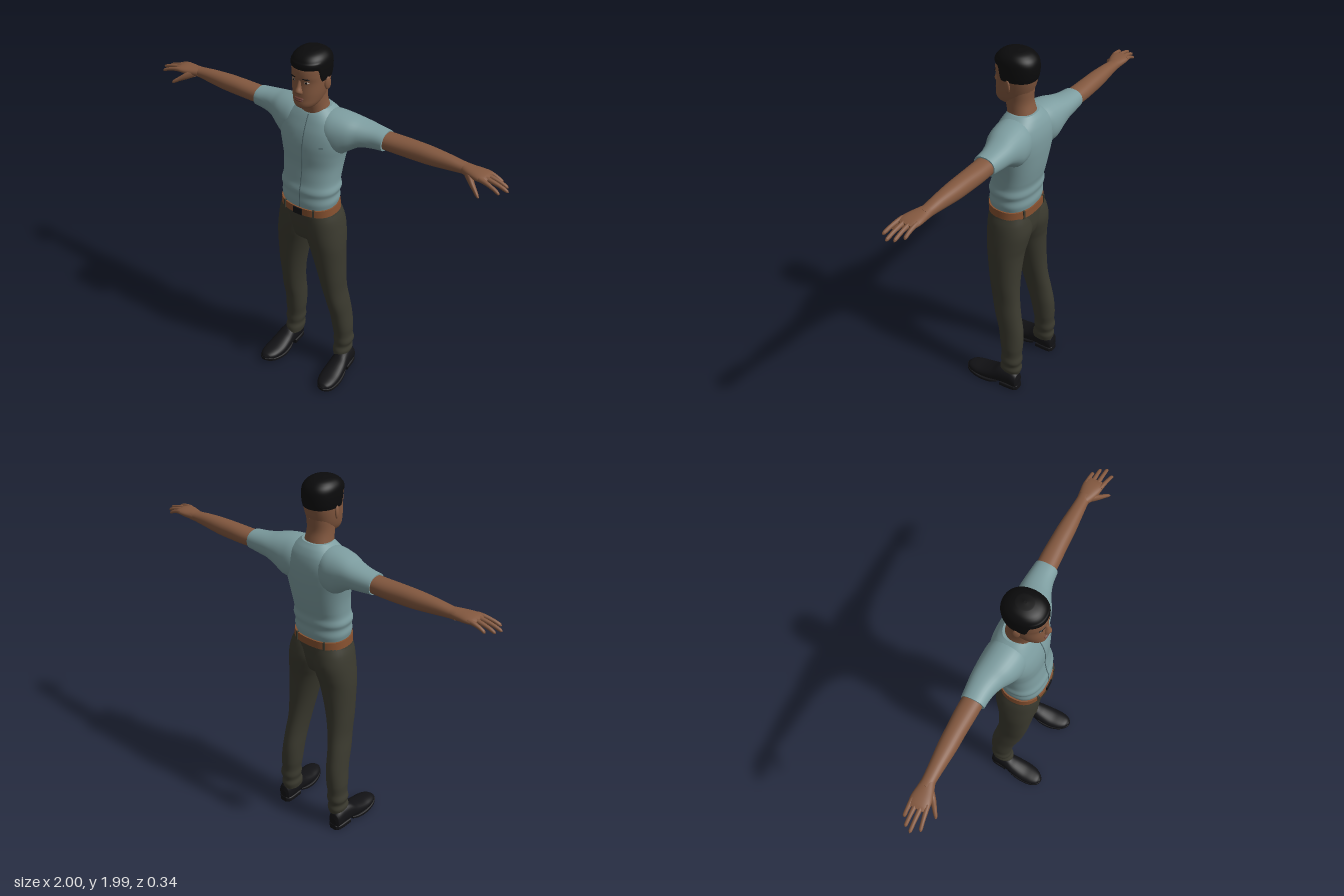
import * as THREE from 'three';

const mat = (name, color) => Object.assign(new THREE.MeshStandardMaterial({ color }), { name });
const M = {
  skin: mat('skin', 0x83583f), hair: mat('hair', 0x0b0b0c), shirt: mat('shirt', 0x7d9da0),
  seam: mat('shirtSeam', 0x4f676b), trousers: mat('trousers', 0x3b3a2f), belt: mat('beltLeather', 0x85502f),
  black: mat('shoeBlack', 0x121215), lips: mat('lips', 0x6a3d33), eye: mat('eyeWhite', 0xb5aca4),
};

// Smooth loft along an axis. Each section is [t, u0, u1, v0, v1], where the extents follow the
// axis in cyclic order: x -> (y, z), y -> (z, x), z -> (x, y).
function loft(name, axis, rings, material, { n = 2.2, segs = 32, sub = 5, smooth = true } = {}) {
  const R = [...rings].sort((a, b) => a[0] - b[0]);
  const slope = (i, c) => {
    const a = R[Math.max(i - 1, 0)], b = R[Math.min(i + 1, R.length - 1)];
    return (b[c] - a[c]) / (b[0] - a[0]);
  };
  const sections = [];
  for (let i = 0; i < R.length - 1; i++) {
    const h = R[i + 1][0] - R[i][0];
    for (let j = 0; j < sub + (i === R.length - 2 ? 1 : 0); j++) {
      const s = j / sub, s2 = s * s, s3 = s2 * s;
      sections.push(R[i].map((p, c) => {
        const q = R[i + 1][c];
        if (c === 0 || !smooth) return p + (q - p) * s;
        return p * (2 * s3 - 3 * s2 + 1) + q * (3 * s2 - 2 * s3)
          + h * (slope(i, c) * (s3 - 2 * s2 + s) + slope(i + 1, c) * (s3 - s2));
      }));
    }
  }
  const k = { x: 0, y: 1, z: 2 }[axis], pos = [], idx = [];
  const push = (t, u, v) => {
    const p = [0, 0, 0];
    p[k] = t; p[(k + 1) % 3] = u; p[(k + 2) % 3] = v;
    pos.push(...p);
  };
  const bend = w => Math.sign(w) * Math.abs(w) ** (2 / n);
  const addRing = ([t, u0, u1, v0, v1]) => {
    const start = pos.length / 3;
    for (let j = 0; j < segs; j++) {
      const a = j / segs * Math.PI * 2;
      push(t, (u0 + u1) / 2 + (u1 - u0) / 2 * bend(Math.cos(a)), (v0 + v1) / 2 + (v1 - v0) / 2 * bend(Math.sin(a)));
    }
    return start;
  };
  sections.forEach((s, i) => {
    const b = addRing(s), a = b - segs;
    for (let j = 0; i && j < segs; j++) {
      const l = (j + 1) % segs;
      idx.push(a + j, a + l, b + l, a + j, b + l, b + j);
    }
  });
  // Flat end caps
  [[sections[0], true], [sections.at(-1), false]].forEach(([s, low]) => {
    const r = addRing(s), c = pos.length / 3;
    push(s[0], (s[1] + s[2]) / 2, (s[3] + s[4]) / 2);
    for (let j = 0; j < segs; j++) {
      const l = (j + 1) % segs;
      idx.push(c, r + (low ? l : j), r + (low ? j : l));
    }
  });
  const g = new THREE.BufferGeometry();
  g.setAttribute('position', new THREE.Float32BufferAttribute(pos, 3));
  g.setIndex(idx);
  g.computeVertexNormals();
  const mesh = new THREE.Mesh(g, material);
  mesh.name = name;
  return mesh;
}

// Sections written for the left side (+x), mirrored when s is -1
function side(s, axis, rings) {
  if (s > 0) return rings;
  return rings.map(([t, a, b, c, d]) =>
    axis === 'x' ? [-t, a, b, c, d] : axis === 'y' ? [t, a, b, -d, -c] : [t, -b, -a, c, d]);
}

function blob(name, material, [x, y, z], [sx, sy, sz], ry = 0, rz = 0) {
  const m = new THREE.Mesh(new THREE.SphereGeometry(1, 20, 14), material);
  m.name = name;
  m.position.set(x, y, z);
  m.scale.set(sx, sy, sz);
  m.rotation.set(0, ry, rz);
  return m;
}

function box(name, material, [x, y, z], [w, h, d], ry = 0) {
  const m = new THREE.Mesh(new THREE.BoxGeometry(w, h, d), material);
  m.name = name;
  m.position.set(x, y, z);
  m.rotation.y = ry;
  return m;
}

// Symmetric vertical sections: y, back z, front z, half width
const sym = rows => rows.map(([y, b, f, w]) => [y, b, f, -w, w]);

function createHead() {
  const g = new THREE.Group();
  g.name = 'head';
  g.add(loft('neck', 'y', sym([[1.64, -0.13, 0.01, 0.08], [1.69, -0.115, 0.02, 0.068], [1.74, -0.102, 0.03, 0.064],
    [1.8, -0.105, 0.03, 0.066]]), M.skin));
  g.add(loft('skull', 'y', sym([[1.712, -0.02, 0.055, 0.026], [1.722, -0.045, 0.076, 0.044], [1.74, -0.07, 0.085, 0.058],
    [1.765, -0.09, 0.084, 0.068], [1.8, -0.105, 0.082, 0.076], [1.85, -0.12, 0.077, 0.082], [1.885, -0.124, 0.083, 0.083],
    [1.93, -0.12, 0.076, 0.082], [1.965, -0.09, 0.045, 0.06]]), M.skin));
  // Hair cap, with the hairline raised over the forehead
  const hair = loft('hair', 'y', sym([[1.855, -0.122, 0.081, 0.085], [1.88, -0.128, 0.084, 0.088], [1.92, -0.13, 0.083, 0.088],
    [1.95, -0.122, 0.076, 0.084], [1.972, -0.1, 0.055, 0.068], [1.985, -0.068, 0.02, 0.04], [1.988, -0.03, -0.015, 0.006]]),
    M.hair, { segs: 64 });
  const p = hair.geometry.attributes.position;
  for (let i = 0; i < p.count; i++) {
    const lift = 0.062 * THREE.MathUtils.smoothstep(p.getZ(i), 0.015, 0.035);
    const y = p.getY(i);
    if (y < 1.95) p.setY(i, y + lift * (1.95 - y) / 0.095);
  }
  hair.geometry.computeVertexNormals();
  g.add(hair);
  g.add(loft('nose', 'y', sym([[1.797, 0.06, 0.084, 0.012], [1.803, 0.06, 0.096, 0.02], [1.814, 0.06, 0.103, 0.018],
    [1.835, 0.06, 0.093, 0.011], [1.865, 0.06, 0.08, 0.008]]), M.skin, { n: 2, segs: 20 }));
  g.add(blob('upperLip', M.lips, [0, 1.774, 0.081], [0.026, 0.006, 0.009]));
  g.add(blob('lowerLip', M.lips, [0, 1.764, 0.08], [0.023, 0.007, 0.01]));
  for (const s of [-1, 1]) {
    g.add(blob('eye', M.eye, [s * 0.034, 1.856, 0.068], [0.013, 0.005, 0.005], s * 0.3));
    g.add(blob('iris', M.hair, [s * 0.034, 1.856, 0.0715], [0.005, 0.005, 0.003], s * 0.3));
    g.add(blob('eyebrow', M.hair, [s * 0.035, 1.874, 0.073], [0.019, 0.0035, 0.004], s * 0.35, s * -0.08));
    g.add(blob('ear', M.skin, [s * 0.086, 1.833, -0.025], [0.008, 0.032, 0.018], s * -0.35));
  }
  return g;
}

function createArm(s) {
  const g = new THREE.Group();
  g.name = s > 0 ? 'leftArm' : 'rightArm';
  const part = (name, rings, m, o) => g.add(loft(name, 'x', side(s, 'x', rings), m, o));
  part('sleeve', [[0.05, 1.47, 1.675, -0.15, 0.02], [0.1, 1.46, 1.678, -0.168, 0.035], [0.15, 1.46, 1.675, -0.172, 0.03],
    [0.2, 1.495, 1.667, -0.17, 0.012], [0.25, 1.525, 1.655, -0.168, -0.015], [0.31, 1.535, 1.645, -0.163, -0.035],
    [0.372, 1.542, 1.637, -0.157, -0.042]], M.shirt);
  part('bareArm', [[0.33, 1.55, 1.63, -0.15, -0.05], [0.43, 1.547, 1.632, -0.153, -0.054], [0.52, 1.547, 1.634, -0.15, -0.058],
    [0.6, 1.55, 1.633, -0.147, -0.06], [0.7, 1.56, 1.627, -0.138, -0.067], [0.77, 1.568, 1.619, -0.133, -0.071],
    [0.8, 1.569, 1.618, -0.134, -0.068]], M.skin);
  part('palm', [[0.77, 1.57, 1.618, -0.132, -0.07], [0.81, 1.572, 1.617, -0.136, -0.055], [0.85, 1.576, 1.616, -0.14, -0.044],
    [0.88, 1.58, 1.612, -0.138, -0.042], [0.9, 1.585, 1.605, -0.13, -0.05]], M.skin);
  // Fingers: base z, tip z, tip x
  [[-0.126, -0.127, 0.95], [-0.102, -0.102, 0.985], [-0.077, -0.072, 1.0], [-0.054, -0.034, 0.975]].forEach(([z0, z1, tip]) => {
    const ring = f => {
      const x = 0.865 + (tip - 0.865) * f, y = 1.598 - 0.026 * f * f, z = z0 + (z1 - z0) * f;
      const r = f === 1 ? 0.002 : 0.0125 - 0.005 * f;
      return [x, y - r, y + r, z - r, z + r];
    };
    part('finger', [0, 0.3, 0.65, 0.94, 1].map(ring), M.skin, { segs: 12, sub: 3, n: 2 });
  });
  part('thumb', [[0.79, 1.57, 1.61, -0.095, -0.065], [0.825, 1.555, 1.597, -0.075, -0.038], [0.855, 1.545, 1.574, -0.048, -0.02],
    [0.885, 1.532, 1.551, -0.022, -0.004], [0.894, 1.533, 1.539, -0.012, -0.006]], M.skin, { segs: 14 });
  return g;
}

function createLeg(s) {
  const g = new THREE.Group();
  g.name = s > 0 ? 'leftLeg' : 'rightLeg';
  g.add(loft('trouserLeg', 'y', side(s, 'y', [[0.1, -0.153, -0.035, 0.122, 0.207], [0.135, -0.162, -0.036, 0.116, 0.217],
    [0.165, -0.157, -0.046, 0.12, 0.212], [0.2, -0.164, -0.044, 0.113, 0.222], [0.24, -0.159, -0.046, 0.114, 0.214],
    [0.3, -0.163, -0.038, 0.106, 0.215], [0.4, -0.16, -0.02, 0.1, 0.206], [0.5, -0.143, 0.008, 0.094, 0.2],
    [0.6, -0.126, 0.03, 0.08, 0.192], [0.7, -0.118, 0.047, 0.06, 0.194], [0.8, -0.118, 0.06, 0.036, 0.194],
    [0.9, -0.123, 0.072, 0.007, 0.194], [0.96, -0.134, 0.08, -0.012, 0.19], [1.03, -0.144, 0.085, -0.03, 0.181],
    [1.09, -0.136, 0.085, -0.03, 0.169], [1.14, -0.12, 0.08, -0.02, 0.15]]), M.trousers));
  // Shoe upper, sole and heel
  g.add(loft('shoe', 'z', side(s, 'z', [[-0.16, 0.165, 0.2, 0.025, 0.075], [-0.152, 0.148, 0.217, 0.008, 0.105],
    [-0.1, 0.138, 0.225, 0.008, 0.128], [-0.045, 0.137, 0.235, 0.01, 0.124], [0, 0.134, 0.244, 0.008, 0.098],
    [0.06, 0.134, 0.25, 0.006, 0.075], [0.115, 0.145, 0.248, 0.01, 0.066], [0.15, 0.165, 0.235, 0.018, 0.058],
    [0.167, 0.19, 0.215, 0.028, 0.045]]), M.black));
  g.add(loft('sole', 'z', side(s, 'z', [[-0.04, 0.145, 0.23, 0.014, 0.03], [0, 0.134, 0.244, 0.003, 0.025],
    [0.06, 0.131, 0.253, 0, 0.024], [0.12, 0.145, 0.25, 0.006, 0.03], [0.155, 0.168, 0.236, 0.014, 0.037],
    [0.171, 0.19, 0.216, 0.023, 0.04]]), M.black, { n: 5 }));
  g.add(loft('heel', 'z', side(s, 'z', [[-0.162, 0.16, 0.203, 0, 0.032], [-0.145, 0.144, 0.219, 0, 0.032],
    [-0.06, 0.138, 0.23, 0, 0.032]]), M.black, { n: 5 }));
  return g;
}

export function createModel() {
  const model = new THREE.Group();
  model.name = 'standingMan';
  model.add(createHead());

  // Shirt body with soft folds at the waist
  const body = [[1.168, -0.128, 0.094, 0.143], [1.2, -0.134, 0.097, 0.15], [1.235, -0.132, 0.094, 0.148],
    [1.265, -0.138, 0.096, 0.156], [1.3, -0.136, 0.086, 0.149], [1.34, -0.145, 0.08, 0.15], [1.4, -0.157, 0.073, 0.156],
    [1.46, -0.166, 0.074, 0.167], [1.52, -0.172, 0.071, 0.18], [1.58, -0.172, 0.058, 0.182], [1.63, -0.162, 0.038, 0.155],
    [1.665, -0.145, 0.02, 0.11], [1.688, -0.125, 0.002, 0.076]];
  model.add(loft('shirtBody', 'y', sym(body), M.shirt, { n: 2.35, segs: 48 }));
  model.add(loft('buttonSeam', 'y', body.slice(0, -1).map(([y, , f]) => [y, f - 0.008, f + 0.002, 0.006, 0.013]),
    M.seam, { segs: 10 }));
  model.add(box('pocketWelt', M.seam, [0.118, 1.527, 0.043], [0.055, 0.005, 0.008], 0.62));

  // Trouser seat, belt, buckle and belt loops
  model.add(loft('trouserSeat', 'y', sym([[0.935, -0.06, 0.04, 0.05], [0.96, -0.105, 0.068, 0.12], [1.03, -0.132, 0.084, 0.174],
    [1.09, -0.134, 0.089, 0.166], [1.145, -0.13, 0.092, 0.15]]), M.trousers, { n: 2.4, segs: 48 }));
  model.add(loft('belt', 'y', sym([[1.13, -0.137, 0.1, 0.155], [1.17, -0.136, 0.101, 0.151]]), M.belt,
    { n: 2.4, segs: 48, smooth: false }));
  model.add(box('buckle', M.black, [0.002, 1.15, 0.1], [0.052, 0.036, 0.012]));
  for (const s of [-1, 1]) {
    model.add(box('beltLoop', M.trousers, [s * 0.085, 1.15, 0.086], [0.011, 0.046, 0.012], s * 0.4));
    model.add(box('beltLoop', M.trousers, [s * 0.085, 1.15, -0.122], [0.011, 0.046, 0.012], s * -0.4));
    model.add(createArm(s), createLeg(s));
  }
  return model;
}
